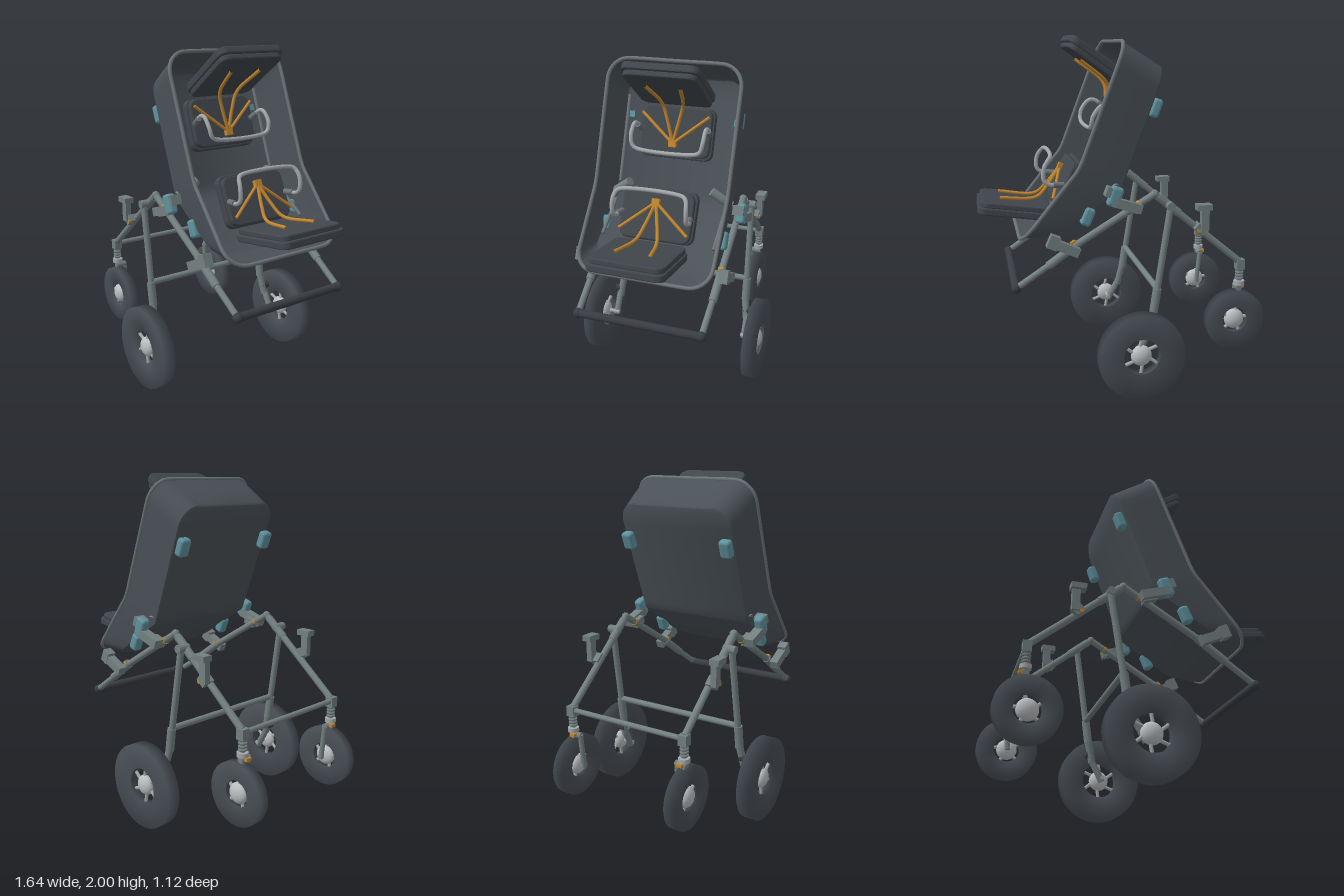
import * as THREE from 'three';
import { toCreasedNormals } from 'three/addons/utils/BufferGeometryUtils.js';
import { RoundedBoxGeometry } from 'three/addons/geometries/RoundedBoxGeometry.js';

const mat = (name, color, side = THREE.FrontSide) => {
  const m = new THREE.MeshStandardMaterial({ color, side });
  m.name = name;
  return m;
};
const V = (x, y, z = 0) => new THREE.Vector3(x, y, z);

export function createModel() {
  const M = {
    shell: mat('shell grey', 0x4a5157, THREE.DoubleSide),
    rim: mat('rim grey', 0x6c7377),
    pad: mat('pad grey', 0x42474d),
    tyre: mat('tyre grey', 0x484e55),
    frame: mat('frame grey', 0x737f80),
    dark: mat('grip black', 0x393d43),
    steel: mat('light steel', 0xa4a8ab),
    hub: mat('hub silver', 0xbabec1),
    teal: mat('teal', 0x5f929e),
    orange: mat('orange', 0xc0852f),
  };
  const model = new THREE.Group();
  model.name = 'stroller';

  // helpers
  const add = (parent, name, geo, material) => {
    const mesh = new THREE.Mesh(geo, material);
    mesh.name = name;
    parent.add(mesh);
    return mesh;
  };
  const rod = (parent, name, a, b, r, material) => {
    const mesh = add(parent, name, new THREE.CylinderGeometry(r, r, a.distanceTo(b), 16), material);
    mesh.position.copy(a).lerp(b, 0.5);
    mesh.quaternion.setFromUnitVectors(V(0, 1, 0), b.clone().sub(a).normalize());
    return mesh;
  };
  const tube = (parent, name, pts, r, material, closed = false, n = 40) => add(parent, name,
    new THREE.TubeGeometry(new THREE.CatmullRomCurve3(pts, closed, 'centripetal'), n, r, 8, closed), material);
  const box = (parent, name, c, size, angle, material, round = 0) => {
    const mesh = add(parent, name, round ? new RoundedBoxGeometry(...size, 3, round) : new THREE.BoxGeometry(...size), material);
    mesh.position.copy(c);
    mesh.rotation.z = angle;
    return mesh;
  };

  // tub: rounded-rectangle sections between the rim line and the floor line
  const along = (p, bend, u) => (u < bend
    ? p[0].clone().lerp(p[1], u / bend) : p[1].clone().lerp(p[2], (u - bend) / (1 - bend)));
  const rimLine = [V(0.015, 1.965), V(0.27, 1.3), V(0.595, 0.9)];
  const floorLine = [V(-0.212, 1.828), V(0.038, 1.158), V(0.43, 0.905)];
  const halfRing = (w, u0, u1, r = 0.12) => {
    const out = [[u0, 0]], ru = r / 1.2;
    for (let i = 0; i <= 8; i++) {
      const a = i / 8 * Math.PI / 2;
      out.push([u0 + ru * (1 - Math.cos(a)), w - r + r * Math.sin(a)]);
    }
    for (let i = 1; i < 16; i++) out.push([u0 + ru + (u1 - u0 - 2 * ru) * i / 16, w]);
    for (let i = 0; i <= 8; i++) {
      const a = i / 8 * Math.PI / 2;
      out.push([u1 - ru * (1 - Math.sin(a)), w - r + r * Math.cos(a)]);
    }
    out.push([u1, 0]);
    return out;
  };
  const level = (t, w, u0, u1) => halfRing(w, u0, u1).map(([u, z]) => {
    const p = along(rimLine, 0.58, u).lerp(along(floorLine, 0.6, u), t);
    return p.setZ(z);
  });
  const flip = (p) => V(p.x, p.y, -p.z);
  const levels = [level(0, 0.39, 0, 1), level(0.5, 0.378, 0, 1), level(0.97, 0.362, 0, 1), level(1, 0.352, 0.006, 0.994)];
  const cols = [...levels, ...levels.slice().reverse().map((l) => l.map(flip))];
  const rows = levels[0].length, pos = [], idx = [];
  cols.forEach((c) => c.forEach((p) => pos.push(p.x, p.y, p.z)));
  for (let c = 0; c < cols.length - 1; c++) {
    for (let r = 0; r < rows - 1; r++) {
      const a = c * rows + r, b = a + rows;
      idx.push(a, b, a + 1, b, b + 1, a + 1);
    }
  }
  const tubGeo = new THREE.BufferGeometry();
  tubGeo.setAttribute('position', new THREE.Float32BufferAttribute(pos, 3));
  tubGeo.setIndex(idx);
  add(model, 'tub', toCreasedNormals(tubGeo, 0.7), M.shell);
  const rimPts = [...levels[0], ...levels[0].slice(1, -1).reverse().map(flip)];
  tube(model, 'tubRim', rimPts, 0.011, M.rim, true, 160);

  // seats: pad, backrest, bumper bar and harness, hinge at the origin
  const slab = (len, width, thick, r) => {
    const s = new THREE.Shape(), b = 0.008, w = width / 2 - b, l = len - b;
    s.moveTo(b, -w + r).absarc(b + r, -w + r, r, Math.PI, Math.PI * 1.5)
      .absarc(l - r, -w + r, r, Math.PI * 1.5, Math.PI * 2)
      .absarc(l - r, w - r, r, 0, Math.PI / 2).absarc(b + r, w - r, r, Math.PI / 2, Math.PI);
    const g = new THREE.ExtrudeGeometry(s, { depth: thick - 2 * b, bevelSize: b, bevelThickness: b, bevelSegments: 2, curveSegments: 6 });
    return g.translate(0, 0, b).rotateX(-Math.PI / 2);
  };
  const seat = (name, x, y, rx, rz) => {
    const g = new THREE.Group();
    g.name = name;
    g.position.set(x, y, 0);
    g.rotation.set(rx, 0, rz);
    model.add(g);
    const cushion = (part, len) => {
      const c = new THREE.Group();
      c.name = part;
      add(c, part + 'Base', slab(len, 0.44, 0.042, 0.04), M.pad).position.y = -0.072;
      add(c, part + 'Top', slab(len - 0.02, 0.42, 0.034, 0.04), M.pad).position.set(0.005, -0.034, 0);
      g.add(c);
      return c;
    };
    cushion('seatPad', 0.42);
    cushion('backrest', 0.3).rotation.set(Math.PI, 0, -107 * Math.PI / 180);
    const side = (s) => [V(-0.04, 0.14, s * 0.2), V(0.05, 0.138, s * 0.212), V(0.076, 0.16, s * 0.212), V(0.082, 0.23, s * 0.212), V(0.062, 0.275, s * 0.2)];
    tube(g, 'bumperBar', [...side(1), V(0.052, 0.29, 0.175), V(0.052, 0.29, -0.175), ...side(-1).reverse()], 0.012, M.steel, false, 80);
    box(g, 'buckle', V(-0.034, 0.215), [0.025, 0.04, 0.045], 0.3, M.orange);
    for (const s of [1, -1]) {
      rod(g, 'sideStrap', V(-0.034, 0.215), V(0.01, 0.055, s * 0.2), 0.009, M.orange);
      tube(g, 'lapStrap', [V(-0.034, 0.215), V(0.03, 0.1, s * 0.035), V(0.09, 0.03, s * 0.06), V(0.3, 0.012, s * 0.1)], 0.01, M.orange);
      rod(g, 'barSleeve', V(-0.04, 0.14, s * 0.2), V(0.02, 0.138, s * 0.21), 0.017, M.rim);
    }
  };
  const deg = Math.PI / 180;
  seat('lowerSeat', 0.394, 1.042, 0, 8 * deg);
  seat('upperSeat', -0.035, 1.702, Math.PI, -35 * deg);

  // wheels: dished tyre ring, hub and curved spokes
  const wheel = (name, x, y, z, R, hole, width, spokes) => {
    const g = new THREE.Group(), h = width / 2;
    g.name = name;
    g.position.set(x, y, z);
    model.add(g);
    const profile = [[hole, -h * 0.7], [R, -h], [R, h], [hole, h * 0.7], [hole, -h * 0.7]].map((p) => new THREE.Vector2(...p));
    add(g, 'tyre', new THREE.LatheGeometry(profile, 48).rotateX(Math.PI / 2), M.tyre);
    add(g, 'hub', new THREE.SphereGeometry(0.06, 24, 16), M.hub).scale.z = 0.6;
    for (let i = 0; i < spokes; i++) {
      const a = i / spokes * Math.PI * 2 + 0.3;
      rod(g, 'spoke', V(0.04 * Math.cos(a), 0.04 * Math.sin(a)),
        V((hole + 0.01) * Math.cos(a + 0.25), (hole + 0.01) * Math.sin(a + 0.25)), 0.01, M.steel);
    }
  };

  // frame, mirrored on both sides
  for (const s of [1, -1]) {
    const P = (x, y, z) => V(x, y, z * s);
    wheel('frontWheel', -0.645, 0.362, s * 0.375, 0.178, 0.075, 0.06, 5);
    wheel('rearWheel', -0.045, 0.25, s * 0.523, 0.248, 0.104, 0.078, 6);

    // front leg, suspension and fork
    const apex = P(-0.15, 1.14, 0.375);
    rod(model, 'frontLeg', P(-0.66, 0.72, 0.375), apex, 0.02, M.frame);
    add(model, 'apexJoint', new THREE.SphereGeometry(0.024, 16, 12), M.frame).position.copy(apex);
    rod(model, 'legSleeve', P(-0.29, 1.025, 0.375), P(-0.17, 1.124, 0.375), 0.024, M.frame);
    box(model, 'casterBlock', P(-0.668, 0.7, 0.375), [0.048, 0.06, 0.05], 0, M.frame);
    rod(model, 'strut', P(-0.668, 0.52, 0.375), P(-0.668, 0.7, 0.375), 0.013, M.frame);
    for (let i = 0; i < 4; i++) {
      const coil = add(model, 'springCoil', new THREE.TorusGeometry(0.019, 0.007, 6, 16), M.frame);
      coil.position.copy(P(-0.668, 0.615 + i * 0.018, 0.375));
      coil.rotation.x = Math.PI / 2;
    }
    rod(model, 'springSeat', P(-0.668, 0.575, 0.375), P(-0.668, 0.6, 0.375), 0.032, M.steel);
    box(model, 'swivelLock', P(-0.69, 0.562, 0.36), [0.025, 0.018, 0.035], 0, M.orange);
    rod(model, 'forkCrown', P(-0.665, 0.555, 0.39), P(-0.665, 0.555, 0.322), 0.018, M.frame);
    rod(model, 'fork', P(-0.665, 0.56, 0.328), P(-0.645, 0.35, 0.328), 0.015, M.frame);
    rod(model, 'frontAxle', P(-0.645, 0.362, 0.32), P(-0.645, 0.362, 0.4), 0.014, M.steel);

    // rear leg with axle bracket
    rod(model, 'rearLeg', P(-0.14, 0.46, 0.42), P(-0.235, 1.08, 0.41), 0.019, M.frame);
    rod(model, 'rearLegSleeve', P(-0.14, 0.46, 0.42), P(-0.16, 0.6, 0.42), 0.025, M.frame);
    rod(model, 'rearLegPivot', P(-0.232, 1.075, 0.36), P(-0.232, 1.075, 0.435), 0.024, M.frame);
    rod(model, 'axleArm', P(-0.14, 0.47, 0.42), P(-0.11, 0.34, 0.435), 0.022, M.frame);
    rod(model, 'axleBracket', P(-0.115, 0.36, 0.44), P(-0.045, 0.23, 0.44), 0.02, M.frame);
    rod(model, 'brakeKnob', P(-0.125, 0.39, 0.42), P(-0.125, 0.39, 0.47), 0.024, M.dark);
    rod(model, 'rearAxle', P(-0.045, 0.25, 0.42), P(-0.045, 0.25, 0.53), 0.012, M.steel);

    // handle arm
    rod(model, 'handleArm', apex, P(0.3, 0.868, 0.375), 0.02, M.frame);
    rod(model, 'handleExtension', P(0.28, 0.88, 0.375), P(0.45, 0.76, 0.372), 0.024, M.frame);
    rod(model, 'handleGripArm', P(0.42, 0.78, 0.372), P(0.628, 0.64, 0.365), 0.018, M.frame);
    rod(model, 'armRing', P(-0.066, 1.089, 0.375), P(-0.054, 1.082, 0.375), 0.023, M.orange);
    box(model, 'handleButton', P(0.31, 0.885, 0.375), [0.03, 0.02, 0.025], -0.6, M.orange);
    add(model, 'handleJoint', new THREE.SphereGeometry(0.029, 16, 12), M.dark).position.copy(P(0.628, 0.64, 0.365));

    // tub adapters and accessory clip
    box(model, 'upperAdapter', P(0.02, 1.095, 0.425), [0.17, 0.05, 0.055], 0.3, M.frame);
    box(model, 'adapterLink', P(-0.01, 1.075, 0.395), [0.08, 0.045, 0.06], 0.3, M.frame);
    box(model, 'adapterLatch', P(0.085, 1.145, 0.425), [0.07, 0.115, 0.055], 0.35, M.teal, 0.018);
    box(model, 'adapterCap', P(0.108, 1.17, 0.415), [0.055, 0.055, 0.065], 0.35, M.frame);
    box(model, 'lowerAdapter', P(0.355, 0.872, 0.425), [0.15, 0.05, 0.05], 0.42, M.frame);
    box(model, 'lowerAdapterHead', P(0.425, 0.91, 0.425), [0.055, 0.075, 0.055], 0.42, M.frame);
    box(model, 'accessoryStem', P(-0.43, 1.0, 0.42), [0.045, 0.15, 0.035], 0, M.frame);
    box(model, 'accessoryHead', P(-0.42, 1.065, 0.428), [0.085, 0.033, 0.058], 0, M.frame);
    box(model, 'accessoryClamp', P(-0.41, 0.935, 0.395), [0.06, 0.045, 0.06], 0.69, M.frame);
    rod(model, 'clampScrew', P(-0.395, 0.928, 0.4), P(-0.395, 0.928, 0.431), 0.011, M.orange);

    // tub clips, inner rails and seat knobs
    box(model, 'upperTubClip', P(-0.16, 1.61, 0.325), [0.055, 0.105, 0.07], 0.36, M.teal, 0.018);
    box(model, 'lowerTubClip', P(0.225, 1.025, 0.356), [0.06, 0.105, 0.06], 0.4, M.teal, 0.018);
    rod(model, 'upperRail', P(-0.13, 1.72, 0.335), P(0.05, 1.24, 0.335), 0.01, M.rim);
    rod(model, 'lowerRail', P(0.12, 1.15, 0.335), P(0.33, 1.01, 0.335), 0.01, M.rim);
    rod(model, 'seatKnob', P(0.1, 1.26, 0.25), P(0.07, 1.18, 0.36), 0.026, M.frame);
  }

  // cross bars
  const cross = (name, x, y, w, r, m) => rod(model, name, V(x, y, -w), V(x, y, w), r, m);
  cross('frontCrossBar', -0.67, 0.705, 0.38, 0.015, M.frame);
  cross('rearCrossBar', -0.16, 0.6, 0.42, 0.018, M.frame);
  cross('handleBar', 0.628, 0.64, 0.365, 0.024, M.dark);
  return model;
}
